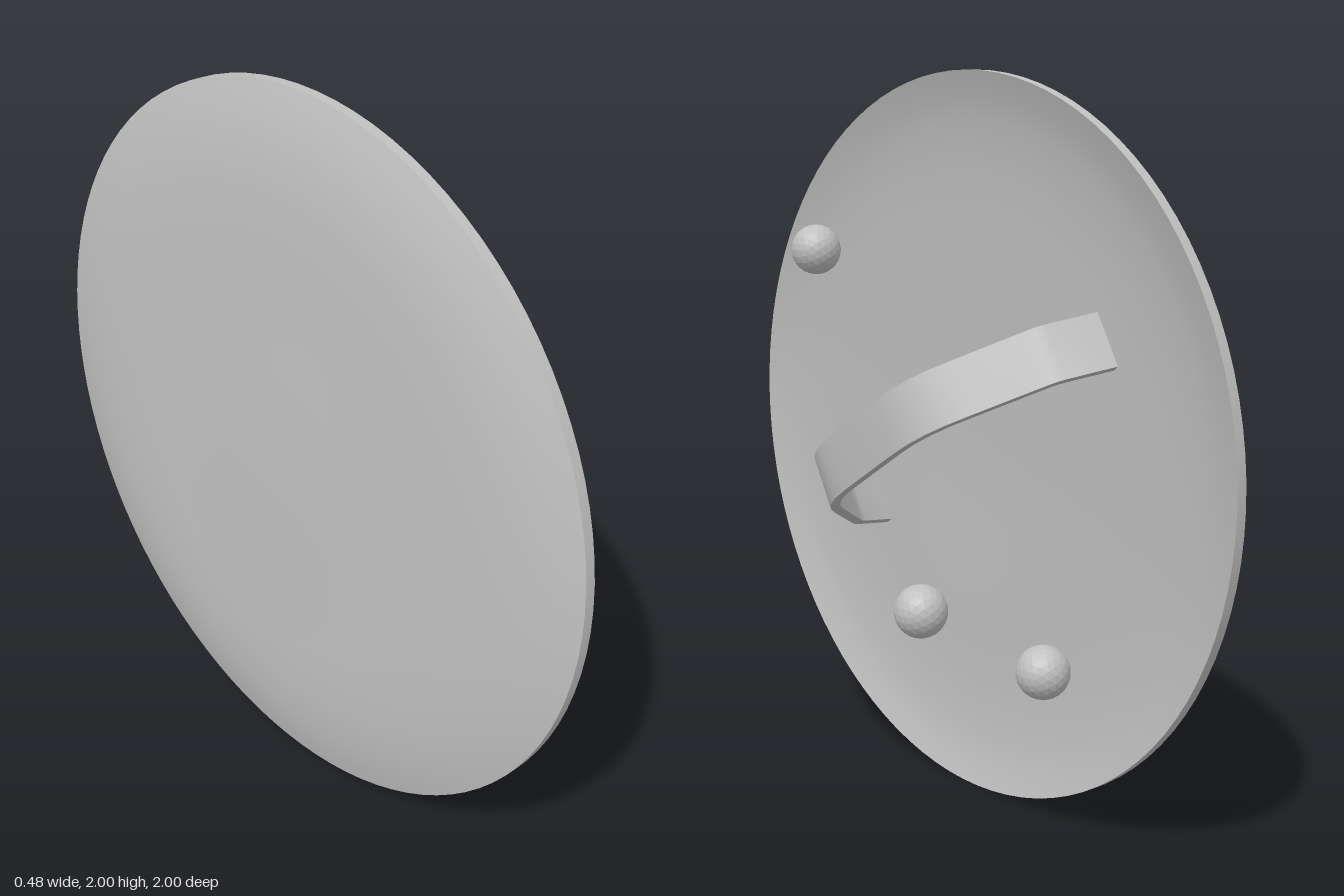
import * as THREE from 'three';
import { toCreasedNormals } from 'three/addons/utils/BufferGeometryUtils.js';

const V2 = (p) => new THREE.Vector2(p[0], p[1]);

// Strip of constant thickness below a centre-symmetric outer path
function stripShape(path, thickness) {
  const inner = path.map((p, i) => {
    const a = path[Math.max(i - 1, 0)];
    const b = path[Math.min(i + 1, path.length - 1)];
    const t = b.clone().sub(a).normalize();
    return new THREE.Vector2(p.x + t.y * thickness, p.y - t.x * thickness);
  });
  return new THREE.Shape([...path, ...inner.reverse()]);
}

export function createModel() {
  const group = new THREE.Group();
  const metal = new THREE.MeshStandardMaterial({ color: 0xc0c0c0 });
  metal.name = 'light grey';
  const facetedMetal = metal.clone();
  facetedMetal.flatShading = true;

  const add = (name, geometry, material = metal) => {
    const mesh = new THREE.Mesh(geometry, material);
    mesh.name = name;
    group.add(mesh);
    return mesh;
  };

  // Shallow dished disc: back face, rim, front face
  const profile = [
    [0, -0.064], [0.25, -0.066], [0.32, -0.063], [0.6, -0.063], [0.74, -0.059],
    [0.82, -0.052], [0.88, -0.043], [0.94, -0.031], [1, -0.014],
    [1, 0.016], [0.93, -0.006], [0.87, -0.017], [0.8, -0.025], [0.72, -0.031],
    [0.6, -0.034], [0.32, -0.034], [0.25, -0.037], [0, -0.035],
  ].map(V2);
  const disc = add('disc', toCreasedNormals(new THREE.LatheGeometry(profile, 96), 0.6));
  disc.position.set(-0.157, 1, 0);
  disc.quaternion.setFromUnitVectors(
    new THREE.Vector3(0, 1, 0), new THREE.Vector3(1, -0.029, 0.029).normalize());

  // Bent strap handle, mirrored about its middle
  const half = [
    [0.585, -0.19], [0.54, -0.05], [0.525, -0.025], [0.5, 0.0], [0.36, 0.13],
    [0.31, 0.172], [0.26, 0.201], [0.2, 0.22], [0.13, 0.226],
  ].map(V2);
  const path = [
    ...half.map((p) => new THREE.Vector2(-p.x, p.y)),
    ...half.slice().reverse(),
  ];
  const width = 0.15;
  const strap = new THREE.ExtrudeGeometry(stripShape(path, 0.028), { depth: width, bevelEnabled: false });
  strap.translate(0, 0, -width / 2);
  const handle = add('handle', toCreasedNormals(strap, 0.5));
  const along = new THREE.Vector3(0.065, 0.492, -0.87).normalize();
  const across = new THREE.Vector3(0, -0.87, -0.492).normalize();
  const outward = across.clone().cross(along).normalize();
  handle.quaternion.setFromRotationMatrix(new THREE.Matrix4().makeBasis(along, outward, across));
  handle.position.set(0, 1.03, -0.015);

  // Three round studs resting on the dished face
  [
    [-0.095, 1.5, 0.63, 0.074],
    [-0.117, 0.483, 0.163, 0.079],
    [-0.127, 0.42, -0.34, 0.074],
  ].forEach(([x, y, z, r], i) => {
    add('stud' + (i + 1), new THREE.IcosahedronGeometry(r, 3), facetedMetal).position.set(x, y, z);
  });

  return group;
}
